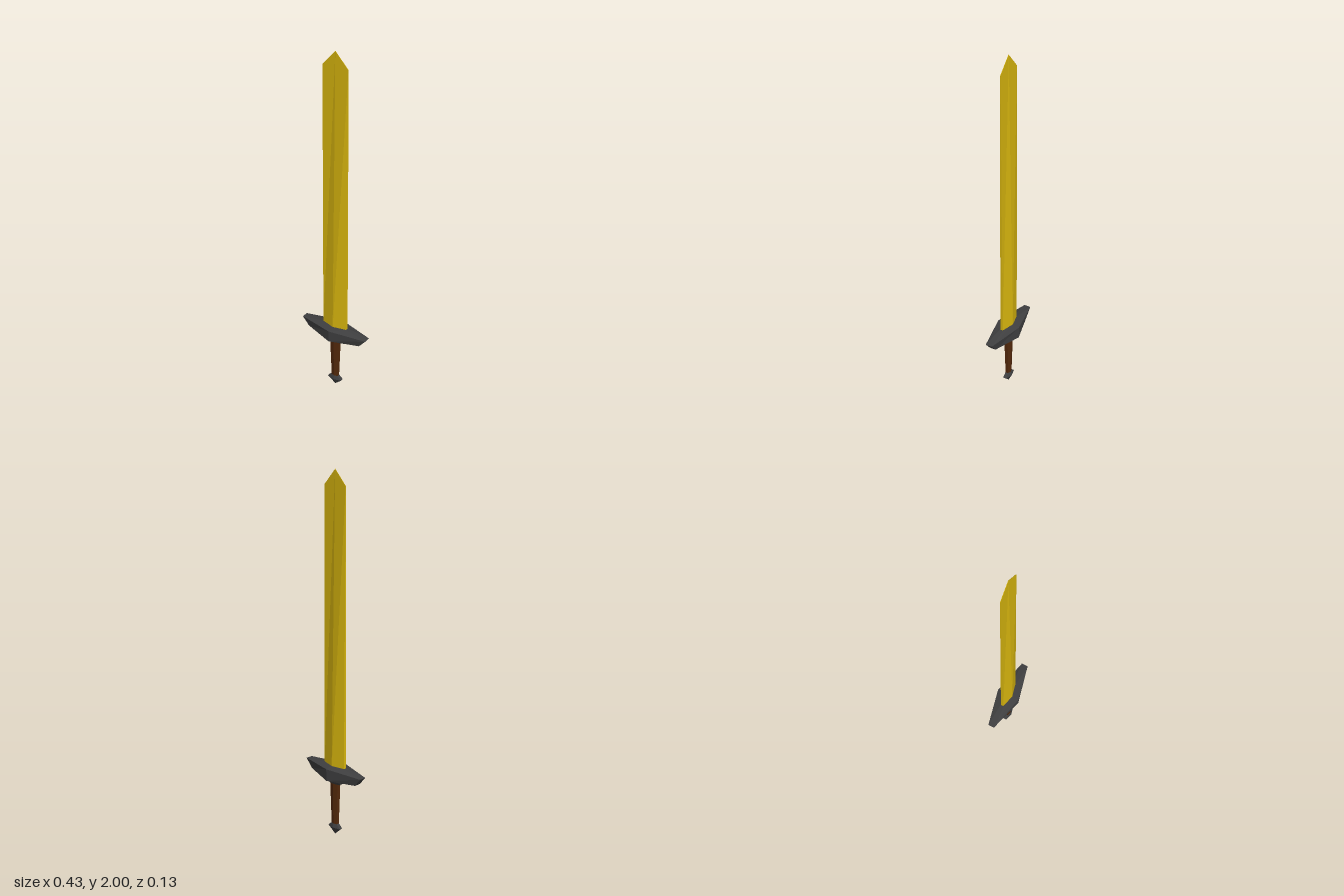
import * as THREE from 'three';

const mat = (name, color) => {
  const m = new THREE.MeshStandardMaterial({ color, flatShading: true });
  m.name = name;
  return m;
};

// Six-sided section: flat ends at x = ±hx (half depth ez), ridge at x = 0 (half depth mz)
function hex(hx, ez, mz, yEnd, yMid = yEnd) {
  return [
    [hx, yEnd, ez], [hx, yEnd, -ez], [0, yMid, -mz],
    [-hx, yEnd, -ez], [-hx, yEnd, ez], [0, yMid, mz],
  ];
}

// Skin sections from bottom to top and close both ends around a centre point
function loft(name, material, rings) {
  const pos = [];
  const tri = (a, b, c) => pos.push(...a, ...b, ...c);
  const first = rings[0];
  const last = rings[rings.length - 1];
  const centre = (r) => [0, r[2][1], 0];
  for (let i = 0; i < 6; i++) {
    const j = (i + 1) % 6;
    for (let k = 0; k < rings.length - 1; k++) {
      const lo = rings[k];
      const hi = rings[k + 1];
      tri(lo[i], lo[j], hi[j]);
      tri(lo[i], hi[j], hi[i]);
    }
    tri(first[j], first[i], centre(first));
    tri(last[i], last[j], centre(last));
  }
  const g = new THREE.BufferGeometry();
  g.setAttribute('position', new THREE.Float32BufferAttribute(pos, 3));
  g.computeVertexNormals();
  const mesh = new THREE.Mesh(g, material);
  mesh.name = name;
  return mesh;
}

export function createModel() {
  const gold = mat('gold blade', 0xd6b40e);
  const iron = mat('dark iron', 0x3f3f40);
  const leather = mat('brown grip', 0x54290b);

  const sword = new THREE.Group();
  sword.name = 'sword';
  sword.add(
    // Tapering blade with a central ridge running to the point
    loft('blade', gold, [
      hex(0.077, 0.008, 0.027, 0.4),
      hex(0.077, 0.001, 0.001, 1.92, 2.0),
    ]),
    // Diamond-shaped crossguard with undercut ends
    loft('crossguard', iron, [
      hex(0.172, 0.018, 0.066, 0.345, 0.334),
      hex(0.213, 0.019, 0.067, 0.393, 0.402),
      hex(0.08, 0.01, 0.028, 0.41),
    ]),
    // Collar under the guard
    loft('collar', iron, [
      hex(0.046, 0.014, 0.024, 0.307),
      hex(0.062, 0.018, 0.031, 0.322),
      hex(0.062, 0.018, 0.031, 0.338),
    ]),
    // Handle, slimmer towards the pommel
    loft('grip', leather, [
      hex(0.02, 0.008, 0.014, 0.055),
      hex(0.029, 0.011, 0.019, 0.31),
    ]),
    // Pointed pommel
    loft('pommel', iron, [
      hex(0.001, 0.001, 0.001, 0),
      hex(0.045, 0.01, 0.022, 0.042),
      hex(0.02, 0.009, 0.015, 0.064),
    ]),
  );
  return sword;
}
